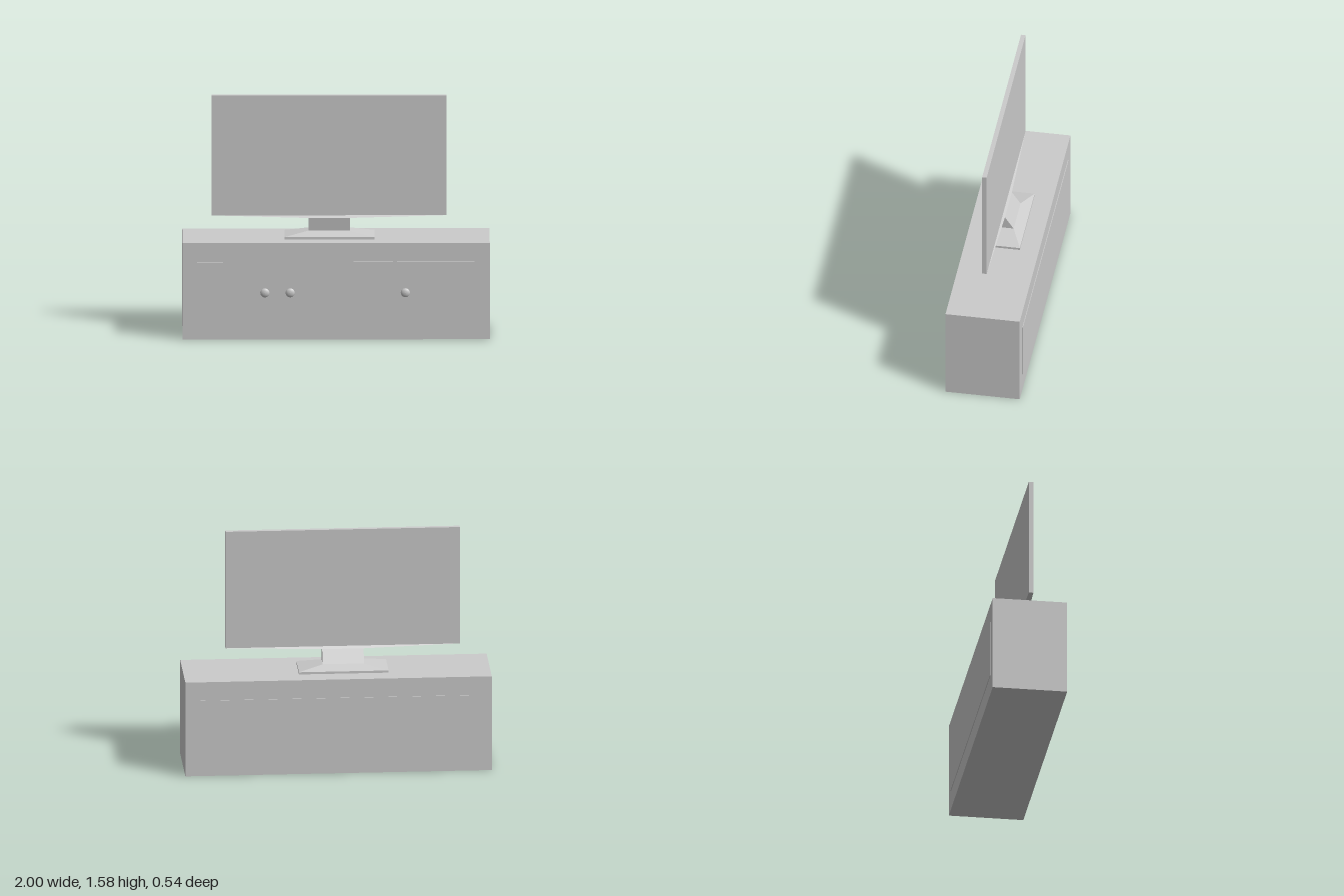
import * as THREE from 'three';

const material = new THREE.MeshStandardMaterial({ color: 0xcccccc });
const flatMaterial = new THREE.MeshStandardMaterial({ color: 0xcccccc, flatShading: true });

function add(parent, name, geometry, mat = material) {
  const mesh = new THREE.Mesh(geometry, mat);
  mesh.name = name;
  parent.add(mesh);
  return mesh;
}

// Box given by its extents on each axis
function box(parent, name, [x0, x1], [y0, y1], [z0, z1]) {
  const mesh = add(parent, name, new THREE.BoxGeometry(x1 - x0, y1 - y0, z1 - z0));
  mesh.position.set((x0 + x1) / 2, (y0 + y1) / 2, (z0 + z1) / 2);
  return mesh;
}

// Closed solid through rectangles [y, x0, x1, z0, z1], listed bottom to top
function loft(sections) {
  const positions = [], index = [];
  for (const [y, x0, x1, z0, z1] of sections) {
    positions.push(x0, y, z1, x1, y, z1, x1, y, z0, x0, y, z0);
  }
  for (let s = 0; s < sections.length - 1; s++) {
    for (let i = 0; i < 4; i++) {
      const a = s * 4 + i, b = s * 4 + (i + 1) % 4;
      index.push(a, b, b + 4, a, b + 4, a + 4);
    }
  }
  const t = (sections.length - 1) * 4;
  index.push(0, 2, 1, 0, 3, 2, t, t + 1, t + 2, t, t + 2, t + 3);
  const indexed = new THREE.BufferGeometry();
  indexed.setAttribute('position', new THREE.Float32BufferAttribute(positions, 3));
  indexed.setIndex(index);
  const geometry = indexed.toNonIndexed();
  geometry.computeVertexNormals();
  return geometry;
}

export function createModel() {
  const model = new THREE.Group();
  model.name = 'televisionOnCabinet';

  // Cabinet body with a thin panel on the back
  const cabinet = new THREE.Group();
  cabinet.name = 'cabinet';
  model.add(cabinet);
  box(cabinet, 'cabinetBody', [-1, 1], [0, 0.64], [-0.265, 0.225]);
  box(cabinet, 'backPanel', [-0.9, 0.9], [0.13, 0.515], [-0.269, -0.26]);

  // Three raised doors
  const doors = [['rightDoor', -0.905, -0.4], ['middleDoor', -0.375, 0.37], ['leftDoor', 0.395, 0.9]];
  for (const [name, x0, x1] of doors) {
    box(cabinet, name, [x0, x1], [0.13, 0.515], [0.22, 0.237]);
  }

  // Round flattened knobs on short stems
  const knobProfile = [
    [0, 0], [0.013, 0], [0.011, 0.01], [0.022, 0.012], [0.028, 0.016], [0.03, 0.02],
    [0.028, 0.025], [0.021, 0.03], [0.011, 0.033], [0, 0.034],
  ].map(([r, h]) => new THREE.Vector2(r, h));
  const knobGeometry = new THREE.LatheGeometry(knobProfile, 24);
  knobGeometry.rotateX(Math.PI / 2);
  for (const x of [-0.465, -0.3, 0.45]) {
    add(cabinet, 'knob', knobGeometry).position.set(x, 0.315, 0.235);
  }

  // Screen panel, tapering underneath towards the neck
  const television = new THREE.Group();
  television.name = 'television';
  model.add(television);
  add(television, 'screen', loft([
    [0.77, -0.18, 0.09, -0.015, 0.045],
    [0.785, -0.81, 0.72, 0, 0.03],
    [1.58, -0.81, 0.72, 0, 0.03],
  ]), flatMaterial);

  // Stand: slab, sloping foot and a neck leaning forward
  add(television, 'stand', loft([
    [0.64, -0.335, 0.25, -0.14, 0.105],
    [0.655, -0.335, 0.25, -0.14, 0.105],
    [0.685, -0.18, 0.09, -0.072, 0.037],
    [0.77, -0.18, 0.09, -0.015, 0.047],
  ]), flatMaterial);

  return model;
}
